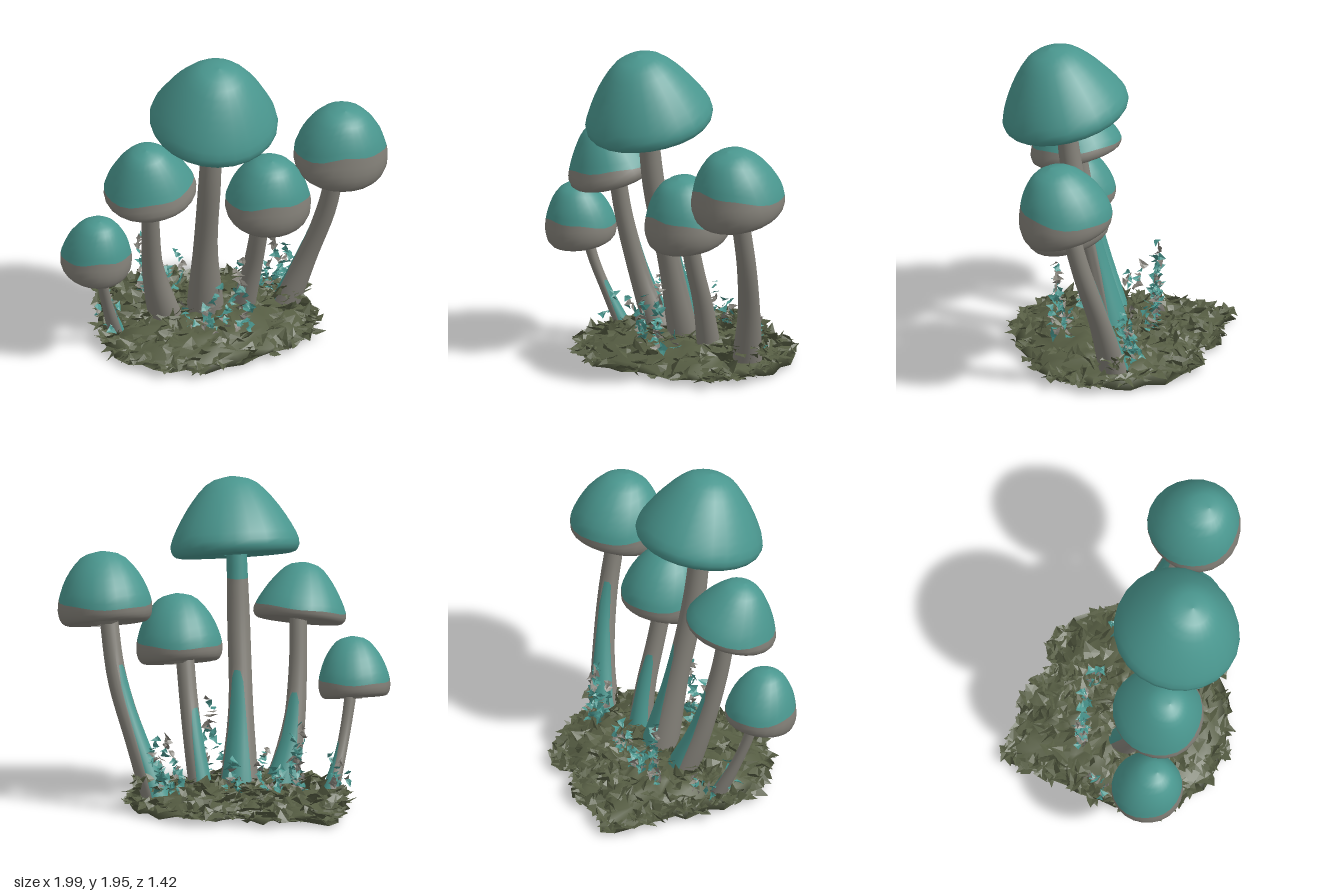
import * as THREE from 'three';

let seed = 7;
const rnd = () => {
  seed = (seed * 16807) % 2147483647;
  return seed / 2147483647;
};
const vary = (a) => (rnd() * 2 - 1) * a;

const paint = (name, color) => {
  const m = new THREE.MeshStandardMaterial({ color, side: THREE.DoubleSide });
  m.name = name;
  return m;
};

// Closed-round sheet: point(angle, t) with t running downwards from t0 to t1
function sheet(point, t0, t1, rows, sides = 24) {
  const pos = [], index = [];
  for (let i = 0; i <= rows; i++) {
    for (let j = 0; j < sides; j++) {
      const a = (j / sides) * Math.PI * 2;
      pos.push(...point(a, THREE.MathUtils.lerp(t0(a), t1(a), i / rows)));
    }
  }
  for (let i = 0; i < rows; i++) {
    for (let j = 0; j < sides; j++) {
      const a = i * sides + j, b = i * sides + ((j + 1) % sides);
      index.push(a, a + sides, b, b, a + sides, b + sides);
    }
  }
  const g = new THREE.BufferGeometry();
  g.setAttribute('position', new THREE.Float32BufferAttribute(pos, 3));
  g.setIndex(index);
  g.computeVertexNormals();
  return g;
}

function soup(pos) {
  const g = new THREE.BufferGeometry();
  g.setAttribute('position', new THREE.Float32BufferAttribute(pos, 3));
  g.computeVertexNormals();
  return g;
}

// Ragged curled flake: a star-like fan with uneven points
function flake(out, x, y, z, size, tilt) {
  const turn = new THREE.Euler(vary(tilt), rnd() * 6.28, vary(tilt));
  const n = 6, rim = [];
  for (let i = 0; i < n; i++) {
    const a = (i / n) * Math.PI * 2 + vary(0.25);
    const r = size * (i % 2 ? 0.45 + rnd() * 0.3 : 0.8 + rnd() * 0.6);
    rim.push(new THREE.Vector3(Math.cos(a) * r, (rnd() - 0.3) * size * 0.6, Math.sin(a) * r).applyEuler(turn));
  }
  for (let i = 0; i < n; i++) {
    const p = rim[i], q = rim[(i + 1) % n];
    out.push(x, y, z, x + q.x, Math.max(0.005, y + q.y), z + q.z, x + p.x, Math.max(0.005, y + p.y), z + p.z);
  }
}

const spline = (pts) => new THREE.SplineCurve(pts.map((p) => new THREE.Vector2(...p)));

// Cap profiles (radius, height) from apex over the rim to the flared collar under the cap
const bellCap = spline([[0, 1], [0.34, 0.93], [0.62, 0.7], [0.86, 0.4], [1, 0.14], [0.95, 0], [0.8, -0.02], [0.42, 0.05], [0.18, -0.02]]);
const domeCap = spline([[0, 1], [0.42, 0.93], [0.76, 0.68], [0.95, 0.4], [1, 0.2], [0.94, 0.05], [0.78, 0], [0.42, 0.08], [0.2, -0.02]]);

// seam: [middle, front swing] of the colour border; streak: [height share, facing angle] of the stem stain
const mushrooms = [
  { name: 'tallMushroom', cap: [-0.08, 1.5, 0.345], r: 0.385, h: 0.465, tilt: [0.24, 0], profile: bellCap,
    stem: [[-0.09, 1.56, 0.37], [-0.088, 1.1, 0.31], [-0.07, 0.6, 0.19], [-0.03, 0.1, 0.08]], w: [0.06, 0.068, 0.074, 0.115], streak: [0.48, 2.6] },
  { name: 'rightMushroom', cap: [0.715, 1.11, 0.365], r: 0.283, h: 0.435, tilt: [0.27, 0], profile: domeCap, seam: [0.42, 0.13],
    stem: [[0.7, 1.17, 0.38], [0.67, 0.78, 0.28], [0.58, 0.42, 0.17], [0.48, 0.1, 0.09]], w: [0.055, 0.058, 0.068, 0.09], streak: [0.75, 3.75] },
  { name: 'leftMushroom', cap: [-0.455, 1.095, 0.275], r: 0.278, h: 0.345, tilt: [0.24, 0.16], profile: bellCap, seam: [0.465, 0.065],
    stem: [[-0.45, 1.15, 0.28], [-0.43, 0.8, 0.22], [-0.38, 0.45, 0.14], [-0.27, 0.1, 0.06]], w: [0.052, 0.055, 0.068, 0.105], streak: [0.55, 2.6] },
  { name: 'middleMushroom', cap: [0.26, 0.855, 0.345], r: 0.258, h: 0.415, tilt: [0.25, 0], profile: domeCap, seam: [0.42, 0.12],
    stem: [[0.235, 0.94, 0.36], [0.23, 0.65, 0.28], [0.22, 0.4, 0.2], [0.19, 0.1, 0.12]], w: [0.055, 0.055, 0.06, 0.072], streak: [0.6, 3.6] },
  { name: 'smallMushroom', cap: [-0.785, 0.612, 0.225], r: 0.215, h: 0.368, tilt: [0.22, 0], profile: domeCap, seam: [0.42, 0.1],
    stem: [[-0.765, 0.68, 0.23], [-0.725, 0.48, 0.19], [-0.675, 0.3, 0.14], [-0.6, 0.1, 0.08]], w: [0.036, 0.033, 0.035, 0.05], streak: [0.45, 1.6] },
];

// Mossy bed outline (x, z)
const outline = new THREE.CatmullRomCurve3([
  [0.61, 0.08], [0.58, 0.32], [0.42, 0.52], [0.1, 0.62], [-0.25, 0.66], [-0.52, 0.55], [-0.68, 0.3],
  [-0.67, 0.05], [-0.61, -0.2], [-0.53, -0.42], [-0.4, -0.66], [-0.2, -0.58], [0, -0.57], [0.13, -0.4], [0.32, -0.44], [0.53, -0.2],
].map(([x, z]) => new THREE.Vector3(x, 0, z)), true);

const bedPoint = (u, r) => {
  const p = outline.getPoint(u);
  return [-0.03 + (p.x + 0.03) * r, 0.03 + (p.z - 0.03) * r];
};
const bedHeight = (r, z) => {
  const back = THREE.MathUtils.smoothstep(-z, 0, 0.65);
  return 0.035 + 0.125 * (1 - r ** 4) * (1 - 0.6 * back);
};

export function createModel() {
  seed = 7;
  const model = new THREE.Group();
  const teal = paint('teal', 0x4a978f);
  const grey = paint('warmGrey', 0x848179);
  const moss = paint('mossGreen', 0x565d43);
  const add = (parent, name, geometry, material) => {
    const m = new THREE.Mesh(geometry, material);
    m.name = name;
    parent.add(m);
  };

  for (const s of mushrooms) {
    const group = new THREE.Group();
    group.name = s.name;
    model.add(group);

    // Cap: coloured top, pale lower rim and underside
    const cap = new THREE.Group();
    cap.name = 'cap';
    cap.position.set(...s.cap);
    cap.rotation.set(s.tilt[0], 0, s.tilt[1]);
    group.add(cap);
    const capPoint = (a, t) => {
      const p = s.profile.getPoint(t);
      const r = Math.max(0, p.x) * s.r * (1 + 0.012 * Math.sin(3 * a + s.r * 40));
      return [Math.sin(a) * r, p.y * s.h, Math.cos(a) * r];
    };
    if (s.seam) {
      const seam = (a) => s.seam[0] - s.seam[1] * Math.cos(a) + 0.008 * Math.sin(5 * a);
      add(cap, 'capTop', sheet(capPoint, () => 0, seam, 9), teal);
      add(cap, 'capUnderside', sheet(capPoint, seam, () => 1, 12), grey);
    } else {
      add(cap, 'capWhole', sheet(capPoint, () => 0, () => 1, 20), teal);
    }

    // Stem with a stain climbing one side
    const path = new THREE.CatmullRomCurve3(s.stem.map((p) => new THREE.Vector3(...p)));
    const width = spline(s.w.map((w, i) => [i, w]));
    const stemPoint = (a, t) => {
      const p = path.getPoint(t), w = width.getPoint(t).y;
      return [p.x + Math.sin(a) * w, p.y, p.z + Math.cos(a) * w];
    };
    const [rise, facing] = s.streak;
    const stain = (a) => 1 - rise * THREE.MathUtils.smoothstep(Math.cos(a - facing), 0.45, 0.95);
    const top = s.seam ? 0 : 0.15;
    add(group, 'stem', sheet(stemPoint, () => top, stain, 14), grey);
    add(group, 'stemStain', sheet(stemPoint, stain, () => 1, 8), teal);
    if (top) add(group, 'stemCollar', sheet(stemPoint, () => 0, () => top, 3), teal);
  }

  // Mossy bed: lumpy mound closed by a shallow base
  const bedSheet = (a, t) => {
    const r = t < 0.75 ? t / 0.75 : (1 - t) / 0.25;
    const [x, z] = bedPoint(1 - a / (Math.PI * 2), r);
    if (t > 0.75) return [x, 0.008 + 0.02 * r ** 3, z];
    return [x + vary(0.02), bedHeight(r, z) + vary(0.022), z + vary(0.02)];
  };
  add(model, 'mossBed', sheet(bedSheet, () => 0, () => 1, 16, 48), moss);

  // Ragged moss leaves over the bed and around its edge
  const leaves = [];
  for (let i = 0; i < 400; i++) {
    const edge = i < 130;
    const r = edge ? 0.9 + rnd() * 0.12 : Math.sqrt(rnd()) * 0.95;
    const [x, z] = bedPoint(rnd(), r);
    flake(leaves, x, bedHeight(Math.min(r, 1), z) + rnd() * 0.025, z, 0.038 + rnd() * 0.03, edge ? 0.5 : 0.75);
  }
  // Moss climbing the foot of the right stem
  for (let i = 0; i < 22; i++) {
    const a = rnd() * Math.PI * 2;
    flake(leaves, 0.51 + Math.sin(a) * 0.085, 0.15 + rnd() * 0.07, 0.1 + Math.cos(a) * 0.085, 0.04, 1);
  }
  add(model, 'mossLeaves', soup(leaves), moss);

  // Curly sprigs of lichen: x, z, height of tip, number of stalks
  const tealBits = [], greyBits = [];
  const sprigs = [
    [-0.28, -0.17, 0.58, 4], [-0.14, -0.2, 0.42, 4], [0.03, -0.14, 0.36, 3], [0.07, 0.4, 0.63, 1], [0.06, 0.39, 0.4, 2], [-0.1, 0.38, 0.45, 3],
    [-0.2, 0.3, 0.32, 2], [0.45, 0.02, 0.48, 4], [0.38, -0.02, 0.32, 3], [-0.62, -0.06, 0.3, 3], [-0.63, 0.14, 0.3, 2], [0.17, 0.38, 0.28, 2],
  ];
  for (const [x, z, h, count] of sprigs) {
    for (let k = 0; k < count; k++) {
      const tip = k ? h * (0.55 + rnd() * 0.4) : h;
      const ox = x + vary(0.06), oz = z + vary(0.04), phase = rnd() * 6.28;
      for (let y = 0.15; y < tip; y += 0.027) {
        const px = ox + 0.025 * Math.sin(y * 16 + phase) + vary(0.01);
        const pz = oz + 0.022 * Math.cos(y * 13 + phase) + vary(0.01);
        flake(rnd() < 0.62 ? tealBits : greyBits, px, y, pz, 0.022 + rnd() * 0.014, 1.2);
      }
    }
  }
  add(model, 'tealLichen', soup(tealBits), teal);
  add(model, 'greyLichen', soup(greyBits), grey);

  return model;
}
